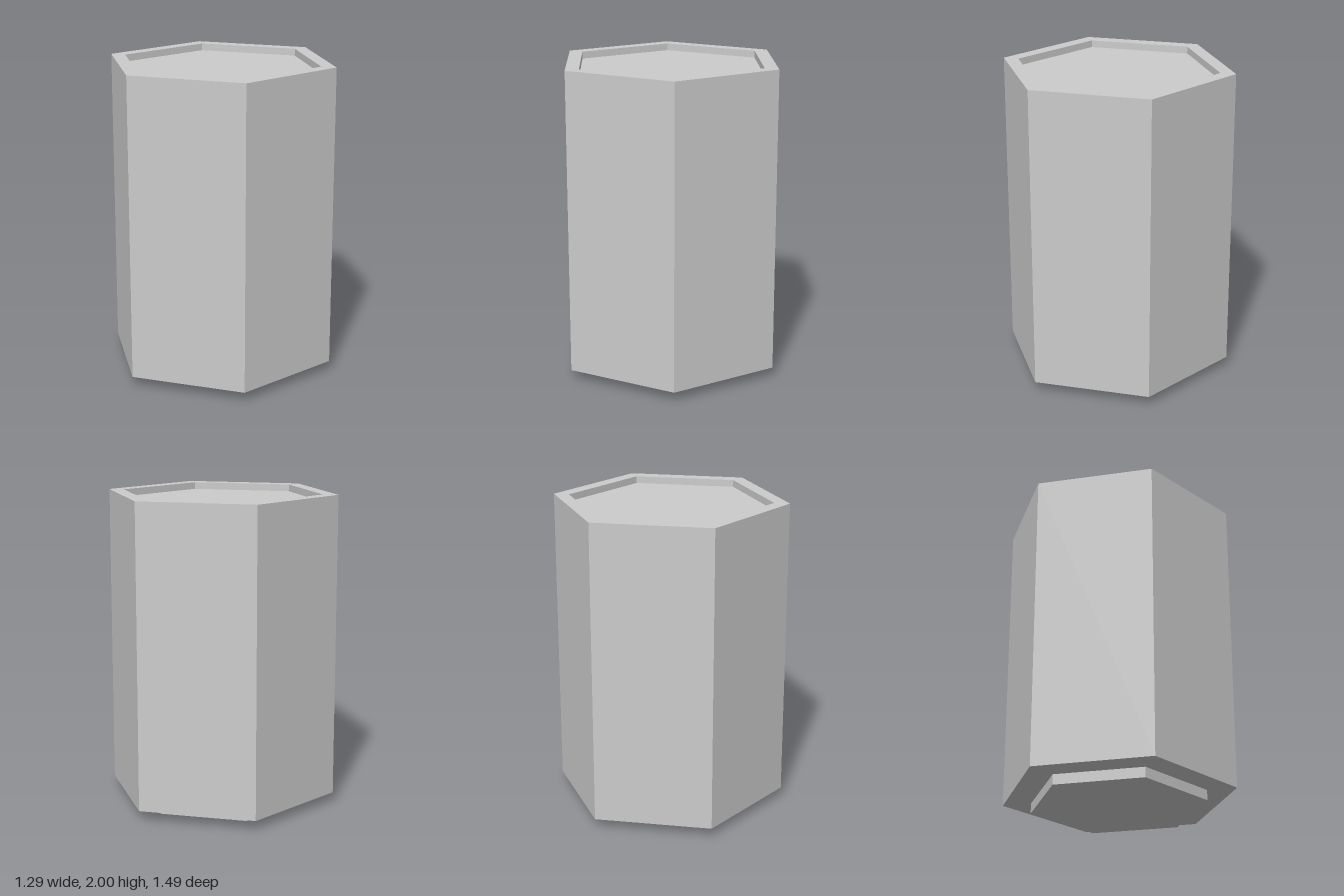
import * as THREE from 'three';

const material = new THREE.MeshStandardMaterial({ color: 0xcccccc, flatShading: true });

// Six-sided solid from a [radius, height] profile, with corners on the z axis
function hexPart(name, profile) {
  const points = profile.map(([r, y]) => new THREE.Vector2(r, y));
  const mesh = new THREE.Mesh(new THREE.LatheGeometry(points, 6), material);
  mesh.name = name;
  return mesh;
}

export function createModel() {
  const group = new THREE.Group();
  group.name = 'hexagonalColumn';

  const bodyRadius = 0.745, recessRadius = 0.648, footRadius = 0.56;
  const footHeight = 0.065, top = 2, recessFloor = 1.955;

  // Foot: smaller hexagonal plug under the body
  group.add(hexPart('foot', [[0, 0], [footRadius, 0], [footRadius, footHeight]]));

  // Body: underside ledge, outer walls, top rim and shallow recess
  group.add(hexPart('body', [
    [footRadius, footHeight],
    [bodyRadius, footHeight],
    [bodyRadius, top],
    [recessRadius, top],
    [recessRadius, recessFloor],
    [0, recessFloor],
  ]));

  return group;
}
